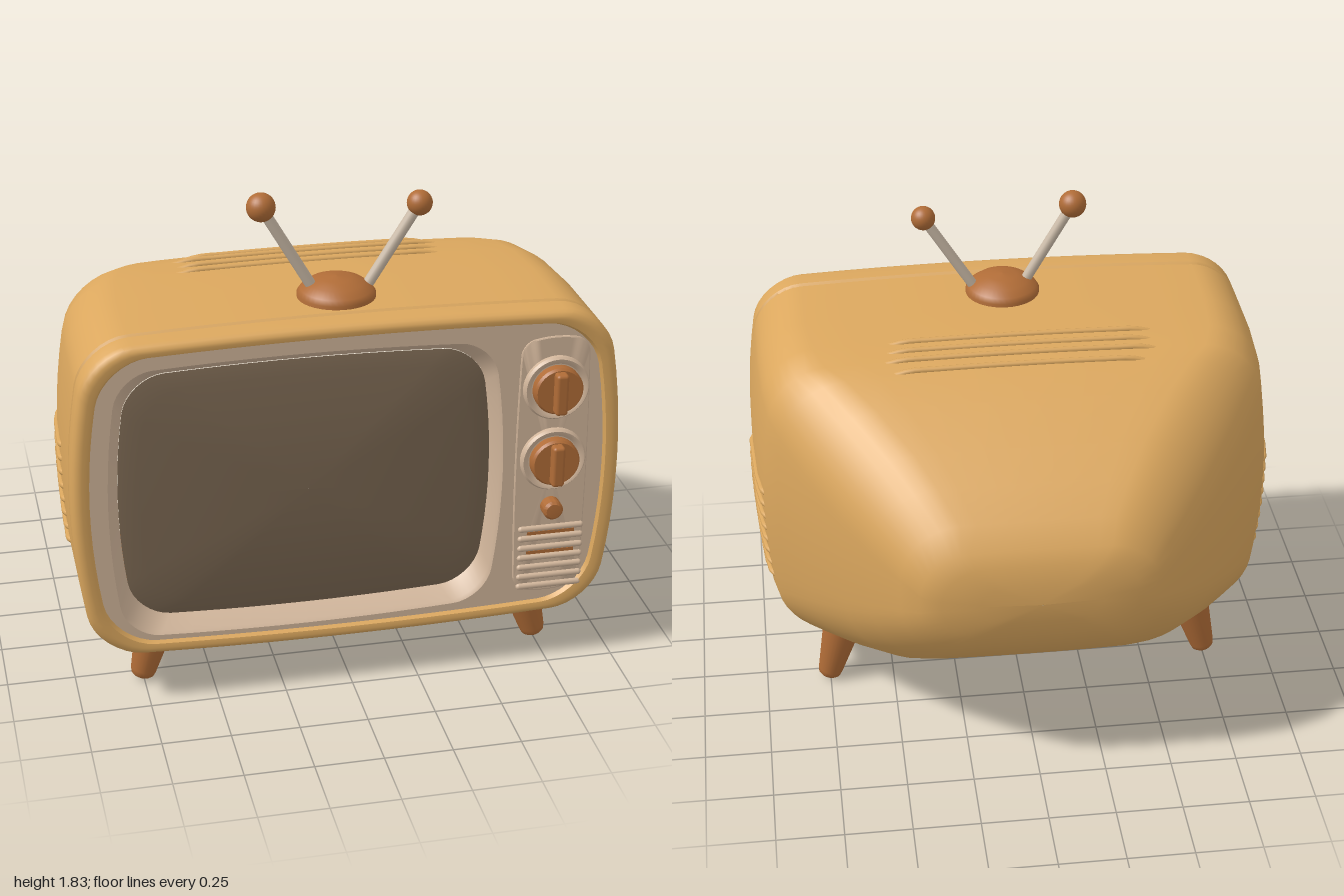
import * as THREE from 'three';
import { toCreasedNormals } from 'three/addons/utils/BufferGeometryUtils.js';
import { RoundedBoxGeometry } from 'three/addons/geometries/RoundedBoxGeometry.js';

const mat = (name, color, side = THREE.FrontSide) => {
  const m = new THREE.MeshStandardMaterial({ color, side });
  m.name = name;
  return m;
};
const KX = 0.07, KY = 0.04; // outward bulge of the sides and of the top and bottom

// Rounded rectangle with bulging edges, counter-clockwise seen from +z
function ring({ z = 0, hw, hh, cx = 0, cy = 0.805, r = 0.17 }) {
  r = Math.min(r, hw * 0.9, hh * 0.9);
  const base = [], arc = 8, edge = 10;
  const corner = (q, t) => {
    const a = (q + t) * Math.PI / 2;
    const sx = q === 0 || q === 3 ? 1 : -1, sy = q < 2 ? 1 : -1;
    return [sx * (hw - r) + r * Math.cos(a), sy * (hh - r) + r * Math.sin(a)];
  };
  for (let q = 0; q < 4; q++) {
    for (let i = 0; i <= arc; i++) base.push(corner(q, i / arc));
    const p = corner(q, 1), n = corner((q + 1) % 4, 0);
    for (let i = 1; i < edge; i++) base.push([0, 1].map(k => p[k] + (n[k] - p[k]) * i / edge));
  }
  return base.map(([x, y]) => new THREE.Vector3(
    cx + x * (1 - KX * (y / hh) ** 2), cy + y * (1 - KY * (x / hw) ** 2), z));
}

// Skin over a series of rings, ordered from the back outwards and to the front
function loft(sections, crease = 0.6) {
  const rings = sections.map(ring), n = rings[0].length, pos = [], idx = [];
  rings.forEach(pts => pts.forEach(p => pos.push(p.x, p.y, p.z)));
  for (let i = 0; i < rings.length - 1; i++) {
    for (let j = 0; j < n; j++) {
      const a = i * n + j, b = i * n + (j + 1) % n;
      idx.push(a, b, b + n, a, b + n, a + n);
    }
  }
  const g = new THREE.BufferGeometry();
  g.setAttribute('position', new THREE.Float32BufferAttribute(pos, 3));
  g.setIndex(idx);
  return toCreasedNormals(g, crease);
}

// Cabinet sections: z, half width, half height, centre height, corner radius
const BODY = [
  [-0.797, 0.002, 0.002, 0.82, 0.1], [-0.787, 0.22, 0.08, 0.82, 0.1], [-0.768, 0.36, 0.15, 0.82, 0.13],
  [-0.74, 0.435, 0.205, 0.815, 0.16], [-0.67, 0.50, 0.287, 0.81, 0.2], [-0.55, 0.60, 0.38, 0.8, 0.23],
  [-0.43, 0.695, 0.46, 0.795, 0.25], [-0.25, 0.825, 0.545, 0.8, 0.25], [-0.11, 0.915, 0.595, 0.805, 0.23],
  [-0.03, 0.962, 0.613, 0.805, 0.2], [0.1, 0.985, 0.622, 0.805, 0.18], [0.3, 0.997, 0.625, 0.805, 0.17],
  [0.595, 1, 0.625, 0.805, 0.17], [0.604, 0.992, 0.617, 0.805, 0.17], [0.606, 0.97, 0.6, 0.805, 0.17],
].map(([z, hw, hh, cy, r]) => ({ z, hw, hh, cy, r }));

// Cabinet size at any depth, used to lay the vents on its surface
function sectionAt(z) {
  const i = Math.max(1, BODY.findIndex(s => s.z >= z));
  const a = BODY[i - 1], b = BODY[i], t = (z - a.z) / (b.z - a.z);
  const mix = k => a[k] + (b[k] - a[k]) * t;
  return { hw: mix('hw'), hh: mix('hh'), cy: mix('cy') };
}

export function createModel() {
  const model = new THREE.Group();
  const mustard = mat('mustard', 0xdba75e);
  const beige = mat('beige', 0xd2b69b);
  const wood = mat('wood', 0xb06c37);
  const glassMat = mat('screenBrown', 0x786550);
  const metal = mat('antennaMetal', 0xcbbba8);

  const add = (name, geo, material, x = 0, y = 0, z = 0, parent = model) => {
    const m = new THREE.Mesh(geo, material);
    m.name = name;
    m.position.set(x, y, z);
    parent.add(m);
    return m;
  };

  // Cabinet and front frame with a seam between them
  add('cabinet', loft(BODY), mustard);
  add('frontFrame', loft([
    [0.606, 0.97, 0.6], [0.61, 0.992, 0.617], [0.62, 1, 0.625], [0.69, 1, 0.625], [0.708, 0.993, 0.619],
    [0.718, 0.98, 0.608], [0.72, 0.965, 0.597], [0.716, 0.945, 0.582], [0.695, 0.935, 0.573],
  ].map(([z, hw, hh]) => ({ z, hw, hh }))), mustard);

  // Front panel with the screen opening
  const opening = { z: 0.7, cx: -0.155, cy: 0.79, hw: 0.718, hh: 0.54, r: 0.13 };
  const panelShape = new THREE.Shape(ring({ hw: 0.94, hh: 0.578 }));
  panelShape.holes.push(new THREE.Path(ring(opening)));
  add('frontPanel', new THREE.ShapeGeometry(panelShape), beige, 0, 0, 0.7);
  const rim = { z: 0.63, cx: -0.15, cy: 0.79, hw: 0.68, hh: 0.492, r: 0.14 };
  add('screenSurround', loft([
    opening, { ...opening, z: 0.69, hw: 0.708, hh: 0.53 }, { ...rim, z: 0.625 },
  ], 0.8), beige);

  // Domed screen
  const dome = [rim, { ...rim, z: 0.637, hw: 0.655, hh: 0.468 }];
  for (const s of [0.92, 0.75, 0.5, 0.25, 0.002]) {
    dome.push({ ...rim, z: 0.637 + 0.04 * (1 - s * s), hw: 0.655 * s, hh: 0.468 * s, r: 0.14 * s });
  }
  add('screen', loft(dome), glassMat);

  // Control plate with knobs, button and speaker slats
  const plate = { cx: 0.742, cy: 0.8, hw: 0.135, hh: 0.515, r: 0.05 };
  add('controlPlate', loft([
    { ...plate, z: 0.7 }, { ...plate, z: 0.705 }, { ...plate, z: 0.708, hw: 0.131, hh: 0.511 },
    { ...plate, z: 0.708, hw: 0.002, hh: 0.002 },
  ]), beige);
  const turned = (pts) => toCreasedNormals(
    new THREE.LatheGeometry(pts.map(p => new THREE.Vector2(...p)), 40), 0.6).rotateX(Math.PI / 2);
  for (const y of [1.12, 0.835]) {
    const knob = new THREE.Group();
    knob.name = 'knob';
    knob.position.set(0.745, y, 0.7);
    model.add(knob);
    add('knobDish', turned([[0.122, 0], [0.122, 0.022], [0.115, 0.032], [0.106, 0.03], [0.094, 0.02], [0, 0.02]]),
      beige, 0, 0, 0, knob);
    add('knobDisc', turned([[0.09, 0], [0.09, 0.05], [0.083, 0.06], [0, 0.06]]), wood, 0, 0, 0, knob);
    add('knobGrip', new RoundedBoxGeometry(0.046, 0.158, 0.07, 3, 0.012), wood, 0, 0, 0.061, knob);
  }
  add('button', turned([[0.037, 0], [0.037, 0.05], [0.028, 0.06], [0, 0.062]]), wood, 0.745, 0.64, 0.7);
  for (let i = 0; i < 7; i++) {
    const slat = new THREE.CapsuleGeometry(0.012, 0.226, 4, 10).rotateZ(Math.PI / 2);
    add('speakerSlat', slat, beige, 0.752, 0.31 + i * 0.04, 0.709);
  }
  for (const y of [0.53, 0.45, 0.39]) {
    add('speakerGap', new THREE.BoxGeometry(0.18, 0.013, 0.004), wood, 0.752, y, 0.709);
  }

  // Raised vent ribs lying on the cabinet; their ends dip into the surface
  const rib = (name, place) => {
    const pts = [];
    for (let i = 0; i <= 12; i++) pts.push(place(i / 12, i % 12 ? 0 : -0.018));
    add(name, new THREE.TubeGeometry(new THREE.CatmullRomCurve3(pts), 30, 0.012, 8), mustard);
  };
  for (const side of [1, -1]) {
    // Side vents, slightly slanted
    for (let k = 0; k < 8; k++) {
      rib('sideVent', (t, lift) => {
        const z = 0.37 + 0.002 * k - 0.39 * t, y = 0.895 - 0.055 * k - 0.037 * t, s = sectionAt(z);
        return new THREE.Vector3(side * (s.hw * (1 - KX * ((y - s.cy) / s.hh) ** 2) + lift), y, z);
      });
    }
    // Top and bottom vents
    [[-0.09, -0.49, 0.48], [-0.03, -0.54, 0.51], [0.03, -0.53, 0.5], [0.09, -0.54, 0.49]].forEach(([z, x0, x1]) => {
      rib(side > 0 ? 'topVent' : 'bottomVent', (t, lift) => {
        const x = x0 + (x1 - x0) * t, s = sectionAt(z);
        return new THREE.Vector3(x, s.cy + side * (s.hh * (1 - KY * (x / s.hw) ** 2) + lift), z);
      });
    });
  }

  // Point a vertical piece from one point to another
  const aim = (m, a, b) => {
    m.position.copy(a);
    m.quaternion.setFromUnitVectors(new THREE.Vector3(0, 1, 0), b.clone().sub(a).normalize());
  };

  // Splayed, tapered legs
  const legGeo = toCreasedNormals(new THREE.LatheGeometry([
    [0, 0], [0.032, 0.002], [0.043, 0.012], [0.048, 0.03], [0.078, 0.25], [0, 0.25],
  ].map(p => new THREE.Vector2(...p)), 28), 0.7);
  for (const x of [1, -1]) {
    for (const [z0, z1] of [[0.548, 0.53], [-0.05, -0.03]]) {
      aim(add(z0 > 0 ? 'frontLeg' : 'backLeg', legGeo, wood),
        new THREE.Vector3(x * 0.757, 0.008, z0), new THREE.Vector3(x * 0.69, 0.25, z1));
    }
  }

  // Antenna: domed base, two rods with ball tips
  const baseProfile = [[0.142, -0.03], [0.142, 0.012], [0.13, 0.03], [0.1, 0.052], [0.055, 0.069], [0, 0.075]];
  add('antennaBase', new THREE.LatheGeometry(baseProfile.map(p => new THREE.Vector2(...p)), 40), wood, 0, 1.43, 0.44);
  for (const [x0, x1, y1, r] of [[-0.08, -0.27, 1.782, 0.052], [0.11, 0.3, 1.756, 0.046]]) {
    const a = new THREE.Vector3(x0, 1.455, 0.44), b = new THREE.Vector3(x1, y1, 0.44), len = a.distanceTo(b);
    aim(add('antennaRod', new THREE.CylinderGeometry(0.02, 0.02, len, 16).translate(0, len / 2, 0), metal), a, b);
    add('antennaBall', new THREE.SphereGeometry(r, 28, 20), wood, x1, y1, 0.44);
  }
  return model;
}
